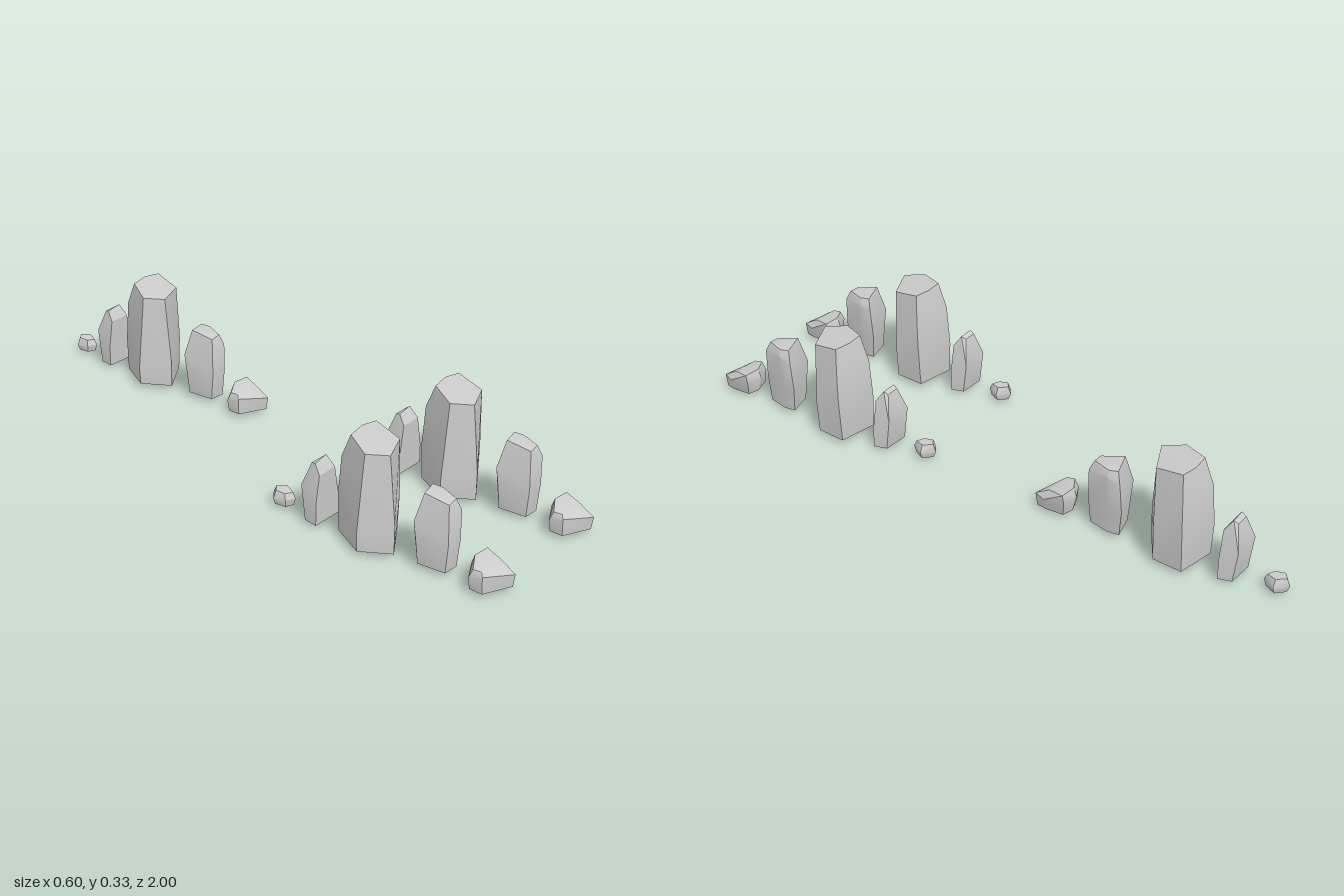
import * as THREE from 'three';
import { ConvexGeometry } from 'three/addons/geometries/ConvexGeometry.js';
import { toCreasedNormals } from 'three/addons/utils/BufferGeometryUtils.js';

// Each stone is the hull of a few [x, y, z] corners: underside, foot, girth, crown.
const stones = {
  tallStone: [
    [-0.05, 0.002, 0.56], [0.0, 0, 0.49], [0.05, 0.003, 0.52], [0.0, 0, 0.6],
    [-0.095, 0.015, 0.565], [-0.035, 0.015, 0.455], [0.087, 0.015, 0.48], [0.08, 0.015, 0.575], [-0.038, 0.012, 0.65],
    [-0.1, 0.07, 0.566], [-0.03, 0.12, 0.446], [0.101, 0.16, 0.476], [0.09, 0.12, 0.572], [-0.038, 0.1, 0.65],
    [-0.028, 0.25, 0.455], [0.094, 0.25, 0.482],
    [-0.076, 0.312, 0.57], [-0.03, 0.326, 0.487], [0.03, 0.33, 0.48], [0.08, 0.328, 0.492],
    [0.064, 0.308, 0.585], [-0.038, 0.311, 0.628],
  ],
  columnStone: [
    [0, 0.004, 0.76],
    [-0.04, 0.015, 0.73], [0.036, 0.015, 0.712], [0.04, 0.015, 0.75], [0.02, 0.012, 0.818], [-0.03, 0.012, 0.815],
    [-0.052, 0.095, 0.73], [0.046, 0.1, 0.7], [0.048, 0.1, 0.742], [0.022, 0.1, 0.826], [-0.03, 0.1, 0.822],
    [-0.053, 0.15, 0.722], [0.05, 0.19, 0.705], [0.05, 0.205, 0.745], [0.024, 0.19, 0.824],
    [-0.034, 0.235, 0.74], [0.035, 0.228, 0.72], [0.04, 0.225, 0.75], [0.016, 0.222, 0.81], [-0.02, 0.217, 0.812],
  ],
  pointedSlab: [
    [-0.05, 0.01, 0.385], [0.053, 0.01, 0.385], [0.042, 0.01, 0.345], [-0.042, 0.01, 0.34],
    [-0.05, 0.08, 0.385], [0.053, 0.07, 0.385], [0.045, 0.11, 0.33], [-0.042, 0.12, 0.325],
    [-0.036, 0.165, 0.385], [0.036, 0.165, 0.384],
    [-0.03, 0.195, 0.365], [0.026, 0.2, 0.36], [-0.024, 0.19, 0.348], [0.02, 0.19, 0.348],
  ],
  lowStone: [
    [0, 0.002, 0.93],
    [-0.054, 0.012, 0.91], [0, 0.012, 0.89], [0.037, 0.012, 0.9], [0.04, 0.012, 0.96], [0.032, 0.01, 0.992], [-0.056, 0.012, 0.952],
    [-0.062, 0.05, 0.91], [-0.003, 0.06, 0.88], [0.05, 0.06, 0.89], [0.05, 0.05, 0.96], [0.033, 0.05, 0.998], [-0.058, 0.065, 0.952],
    [-0.056, 0.078, 0.92], [-0.003, 0.087, 0.89], [0.05, 0.087, 0.895], [0.034, 0.078, 0.95], [-0.052, 0.076, 0.945],
  ],
  pebble: [
    [0, 0.01, 0.2], [0.024, 0.01, 0.225], [0.006, 0.01, 0.26], [-0.02, 0.01, 0.25], [-0.024, 0.01, 0.215],
    [0, 0.032, 0.19], [0.031, 0.03, 0.226], [0.006, 0.032, 0.267], [-0.023, 0.032, 0.252], [-0.031, 0.03, 0.214],
    [0, 0.055, 0.2], [0.02, 0.054, 0.226], [0.005, 0.05, 0.258], [-0.018, 0.051, 0.246], [-0.022, 0.054, 0.216],
  ],
};

export function createModel() {
  const model = new THREE.Group();
  const material = new THREE.MeshStandardMaterial({ color: 0xcccccc });

  const geometries = Object.entries(stones).map(([name, corners]) => {
    const hull = new ConvexGeometry(corners.map((c) => new THREE.Vector3(...c)));
    return [name, toCreasedNormals(hull, 0.5)];
  });

  // Three identical rows of stones
  const rows = [['frontRightRow', -0.2, 0], ['frontLeftRow', 0.2, 0], ['backLeftRow', 0.2, -1.19]];
  for (const [rowName, x, z] of rows) {
    const row = new THREE.Group();
    row.name = rowName;
    row.position.set(x, 0, z);
    for (const [name, geometry] of geometries) {
      const mesh = new THREE.Mesh(geometry, material);
      mesh.name = name;
      row.add(mesh);
    }
    model.add(row);
  }
  return model;
}
